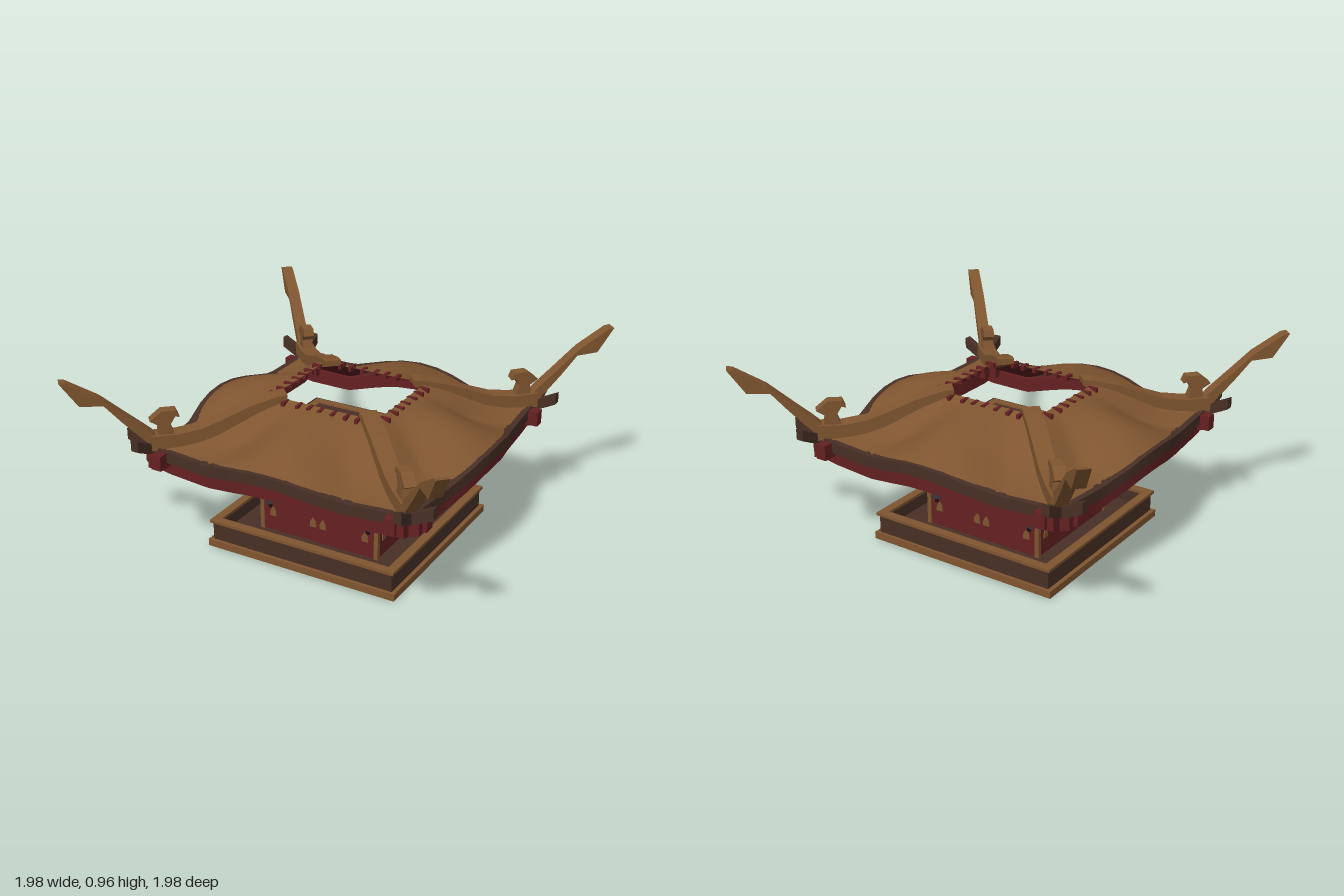
import * as THREE from 'three';
import { toCreasedNormals } from 'three/addons/utils/BufferGeometryUtils.js';

const paint = (name, color, side = THREE.FrontSide) => {
  const m = new THREE.MeshStandardMaterial({ color, side });
  m.name = name;
  return m;
};

// Linear lookup in a list of [position, value] pairs, mirrored about zero
const lookup = (table, x) => {
  x = Math.abs(x);
  for (let i = 1; i < table.length; i++) {
    const [x0, a] = table[i - 1], [x1, b] = table[i];
    if (x <= x1) return a + (b - a) * (x - x0) / (x1 - x0);
  }
  return table[table.length - 1][1];
};

// Eave curves: height and distance from the centre along one side
const EAVE_Y = [[0, 0.608], [0.1, 0.602], [0.2, 0.584], [0.37, 0.546], [0.62, 0.556], [0.72, 0.59], [0.81, 0.635]];
const EAVE_Z = [[0, 0.752], [0.1, 0.747], [0.2, 0.734], [0.37, 0.692], [0.62, 0.678], [0.72, 0.685], [0.81, 0.69]];
// Fall of the roof from opening to eave, at the hip and mid panel
const FALL_HIP = [[0, 0], [0.2, 0.2], [0.4, 0.5], [0.6, 0.8], [0.8, 0.95], [1, 1]];
const FALL_MID = [[0, 0], [0.2, 0.1], [0.4, 0.22], [0.6, 0.4], [0.8, 0.65], [1, 1]];

// One curved roof panel, facing +z
function roofPanel(halfWidth, depth, drop) {
  const g = new THREE.PlaneGeometry(2, 1, 32, 12);
  const p = g.attributes.position;
  for (let i = 0; i < p.count; i++) {
    const u = p.getX(i), v = 0.5 - p.getY(i);
    const xe = u * 0.69;
    const bump = THREE.MathUtils.smoothstep(1 - Math.abs(u) / 0.6, 0, 1);
    const fall = THREE.MathUtils.lerp(lookup(FALL_HIP, v), lookup(FALL_MID, v), bump);
    const y = 0.768 + (lookup(EAVE_Y, xe) + 0.026 - 0.768) * fall - drop * (0.1 + v);
    p.setXYZ(i, THREE.MathUtils.lerp(u * halfWidth, xe, v), y,
      THREE.MathUtils.lerp(depth, lookup(EAVE_Z, xe), v));
  }
  return toCreasedNormals(g, 0.3);
}

// A board bent along the eave curves
function eaveBoard(half, height, thick, dy, dz) {
  const g = new THREE.BoxGeometry(half * 2, height, thick, 32, 1, 1);
  const p = g.attributes.position;
  for (let i = 0; i < p.count; i++) {
    const x = p.getX(i);
    p.setY(i, p.getY(i) + lookup(EAVE_Y, x) + dy);
    p.setZ(i, p.getZ(i) + lookup(EAVE_Z, x) + dz);
  }
  return toCreasedNormals(g, 0.3);
}

const outline = (pts) => new THREE.Shape(pts.map(([x, y]) => new THREE.Vector2(x, y)));

// Side profile (diagonal offset, height) given an even width
function diagonalPart(pts, width) {
  const g = new THREE.ExtrudeGeometry(outline(pts.map(([t, y]) => [t * Math.SQRT2, y])),
    { depth: width, bevelEnabled: false });
  return g.translate(0, 0, -width / 2).rotateY(-Math.PI / 4);
}

const plate = (pts) => new THREE.ExtrudeGeometry(outline(pts), { depth: 0.006, bevelEnabled: false });

export function createModel() {
  const model = new THREE.Group();
  model.name = 'pavilionRoof';
  const wood = paint('warm wood', 0x7f5530);
  const dark = paint('dark wood', 0x472f25);
  const red = paint('deep red', 0x642022);
  const lining = paint('red lining', 0x551b1d, THREE.DoubleSide);
  const blue = paint('slate blue', 0x2d3b46);
  const black = paint('near black', 0x1a1212);

  const add = (name, geo, mat, parent = model) => {
    const m = new THREE.Mesh(geo, mat);
    m.name = name;
    parent.add(m);
    return m;
  };
  const box = (name, mat, w, h, d, x, y, z, parent) =>
    add(name, new THREE.BoxGeometry(w, h, d).translate(x, y, z), mat, parent);
  // Rectangular ring of four bars
  const frame = (name, mat, hx, hz, bar, y0, y1) => {
    const h = y1 - y0, y = (y0 + y1) / 2;
    for (const s of [-1, 1]) {
      box(name, mat, hx * 2, h, bar, 0, y, s * (hz - bar / 2));
      box(name, mat, bar, h, (hz - bar) * 2, s * (hx - bar / 2), y, 0);
    }
  };

  // Base tray
  box('baseFloor', dark, 0.98, 0.06, 0.95, 0, 0.035, 0);
  frame('baseLowerTrim', wood, 0.522, 0.502, 0.04, 0, 0.036);
  frame('baseWall', dark, 0.5, 0.485, 0.03, 0.036, 0.13);
  frame('baseUpperTrim', wood, 0.512, 0.497, 0.045, 0.13, 0.145);

  // Painted body and lintel
  box('body', red, 0.65, 0.295, 0.61, 0, 0.2075, 0);
  for (const sx of [-1, 1]) for (const sz of [-1, 1])
    box('bodyCornerPost', wood, 0.022, 0.29, 0.022, sx * 0.322, 0.205, sz * 0.302);
  frame('bodyTopTrim', wood, 0.332, 0.312, 0.02, 0.342, 0.352);
  box('lintel', dark, 0.94, 0.098, 0.92, 0, 0.4, 0);
  frame('lintelTrim', wood, 0.45, 0.44, 0.04, 0.449, 0.457);

  const cloud = [[-0.17, 0.345], [-0.14, 0.295], [-0.1, 0.275], [-0.06, 0.285], [-0.04, 0.31], [0, 0.32],
    [0.04, 0.31], [0.06, 0.285], [0.1, 0.275], [0.14, 0.295], [0.17, 0.345]];
  const bluePatch = [[0.225, 0.345], [0.235, 0.27], [0.255, 0.22], [0.285, 0.205], [0.308, 0.23], [0.308, 0.345]];
  const flame = [[-0.018, 0.147], [0.018, 0.147], [0.016, 0.175], [0, 0.2], [-0.016, 0.175]];

  for (let k = 0; k < 4; k++) {
    const side = new THREE.Group();
    side.name = 'side' + (k + 1);
    side.rotation.y = k * Math.PI / 2;
    model.add(side);
    const onX = k % 2 === 1;

    // Painted panel details
    const face = new THREE.Group();
    face.name = 'paintedPanel';
    face.position.z = onX ? 0.3245 : 0.3045;
    face.scale.x = onX ? 0.93 : 1;
    side.add(face);
    add('cloudOrnament', plate(cloud), wood, face);
    for (const s of [-1, 1]) {
      const pts = bluePatch.map(([x, y]) => [x * s, y]);
      add('bluePatch', plate(pts), blue, face);
      box('darkStud', black, 0.02, 0.014, 0.008, s * 0.275, 0.2, 0.005, face);
    }
    for (const x of [-0.26, -0.03, 0.025, 0.26])
      add('flameOrnament', plate(flame).translate(x, 0, 0), wood, face);

    // Roof panel, lining and eave boards
    const hw = onX ? 0.25 : 0.285, d = onX ? 0.285 : 0.25;
    add('roofPanel', roofPanel(hw, d, 0), wood, side);
    add('roofLining', roofPanel(hw, d, 0.035), lining, side);
    add('eaveBoard', eaveBoard(0.81, 0.055, 0.04, 0, 0), dark, side);
    add('lowerEaveBoard', eaveBoard(0.73, 0.075, 0.05, -0.062, -0.03), red, side);

    // Beam ends beneath the corners
    for (const s of [-1, 1]) box('beamEnd', red, 0.055, 0.075, 0.2, s * 0.62, 0.54, 0.65, side);

    // Rafter tips around the opening
    for (const x of [-0.2, -0.12, -0.06, 0, 0.07, 0.14, 0.2])
      box('rafterTip', red, 0.018, 0.024, 0.05, x, 0.757, d + 0.02, side);

    // Hip ridge, finial and swept horn on the corner
    add('hipRidge', diagonalPart([[0.225, 0.795], [0.26, 0.79], [0.36, 0.752], [0.45, 0.702], [0.52, 0.668],
      [0.6, 0.652], [0.69, 0.655], [0.69, 0.58], [0.52, 0.59], [0.4, 0.66], [0.28, 0.735], [0.225, 0.765]], 0.085), wood, side);
    add('finial', diagonalPart([[0.59, 0.735], [0.6, 0.77], [0.65, 0.772], [0.69, 0.727], [0.66, 0.7],
      [0.668, 0.63], [0.605, 0.63], [0.622, 0.7], [0.605, 0.74]], 0.055), wood, side);
    add('horn', diagonalPart([[0.97, 0.962], [0.95, 0.958], [0.845, 0.868], [0.77, 0.775], [0.7, 0.69], [0.655, 0.63],
      [0.67, 0.575], [0.715, 0.64], [0.78, 0.74], [0.835, 0.832], [0.912, 0.84]], 0.06), wood, side);
  }
  return model;
}
